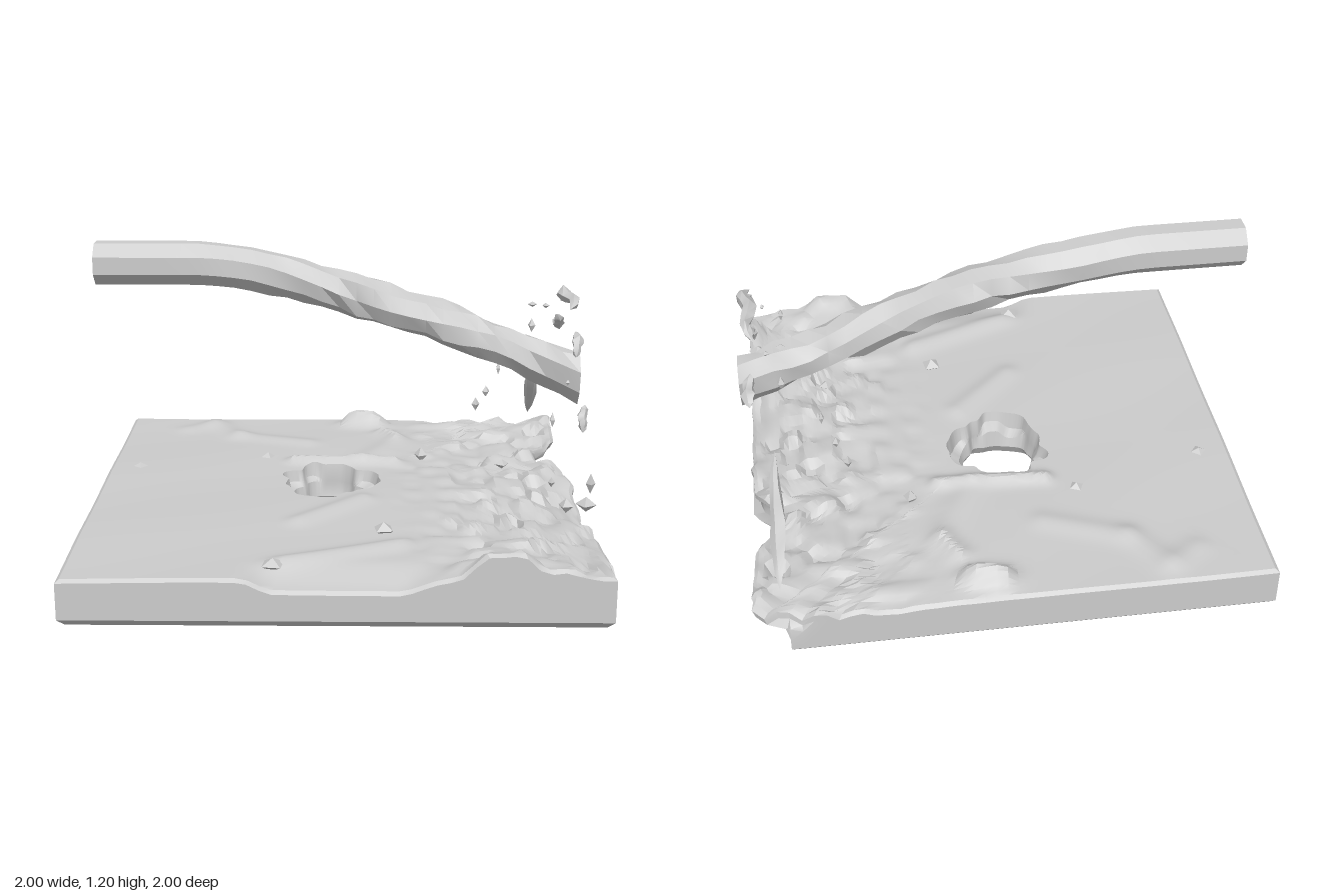
import * as THREE from 'three';
import { toCreasedNormals } from 'three/addons/utils/BufferGeometryUtils.js';

const material = new THREE.MeshStandardMaterial({ color: 0xcccccc, side: THREE.DoubleSide });
const lerp = THREE.MathUtils.lerp, smooth = THREE.MathUtils.smoothstep;
const bump = (v, c, w) => Math.exp(-(((v - c) / w) ** 2));

// Repeatable value in -1..1 from a position
function hash(x, y, z) {
  const s = Math.sin(Math.round(x * 500) * 12.99 + Math.round(y * 500) * 78.23 + Math.round(z * 500) * 37.72) * 43758.55;
  return (s - Math.floor(s)) * 2 - 1;
}

// Blocky noise in -1..1, steep between cells
function noise(x, z, seed, cell) {
  const i = Math.floor(x / cell), j = Math.floor(z / cell);
  const u = smooth(x / cell - i, 0.2, 0.8), v = smooth(z / cell - j, 0.2, 0.8);
  return lerp(lerp(hash(i, seed, j), hash(i + 1, seed, j), u), lerp(hash(i, seed, j + 1), hash(i + 1, seed, j + 1), u), v);
}

function addMesh(group, geometry, name, crease = 0.6) {
  const mesh = new THREE.Mesh(toCreasedNormals(geometry, crease), material);
  mesh.name = name;
  group.add(mesh);
  return mesh;
}

// Low rounded ridge along a segment on the ground
function ridge(x, z, x0, z0, x1, z1, w, amp) {
  const dx = x1 - x0, dz = z1 - z0;
  const t = THREE.MathUtils.clamp(((x - x0) * dx + (z - z0) * dz) / (dx * dx + dz * dz), 0, 1);
  return amp * bump(Math.hypot(x - x0 - dx * t, z - z0 - dz * t), 0, w);
}

// Height of the slab top: calm on the left, broken on the right
function groundHeight(x, z) {
  let h = 0.185 + 0.005 * Math.sin(4 * x + 3 * z) * Math.cos(5 * z - x);
  h += ridge(x, z, -0.72, -0.82, -0.6, -0.9, 0.05, 0.013) + ridge(x, z, -0.6, -0.9, -0.47, -0.72, 0.05, 0.014);
  h += ridge(x, z, -0.47, -0.72, -0.15, -0.6, 0.05, 0.014) + ridge(x, z, 0.1, -0.35, 0.25, -0.6, 0.06, 0.015);
  h += ridge(x, z, -0.2, 0.83, 0.25, 0.65, 0.05, 0.024) + ridge(x, z, -0.15, 0.4, 0.1, 0.15, 0.05, 0.018);
  // Raised crust beside the hole and broken lumps
  h += ridge(x, z, -0.2, -0.34, 0.24, -0.32, 0.035, 0.03);
  h += ridge(x, z, 0.06, -0.9, 0.16, -0.88, 0.05, 0.075) + ridge(x, z, 0.2, -0.75, 0.26, -0.65, 0.04, 0.03);
  const rough = smooth(x, 0.15, 0.7);
  h += rough * (0.028 * noise(x, z, 1, 0.075) + 0.014 * noise(x, z, 2, 0.19));
  // Front edge dips in the middle and rises near the right corner
  const front = smooth(z, 0.8, 1);
  h -= 0.045 * front * smooth(x, -0.35, -0.22) * (1 - smooth(x, 0.22, 0.4));
  h += 0.06 * smooth(z, 0.65, 1) * bump(x, 0.6, 0.13) + 0.04 * front * smooth(x, 0.42, 0.6);
  // Right edge is worn down, its back corner kicked up
  const right = smooth(x, 0.78, 1);
  h -= right * 0.08 * bump(z, 0.17, 0.2);
  h += right * 0.04 * bump(z, -0.82, 0.16);
  return h;
}

// Slab: a closed cross-section carried round the square, with a ragged hole
function slabGeometry() {
  const perSide = 44, spokes = perSide * 4, steps = 40;
  const corners = [[-1, 1], [1, 1], [1, -1], [-1, -1]];
  const hx = -0.04, hz = -0.1;
  const positions = [], index = [];
  let rings = 0;
  for (let k = 0; k < spokes; k++) {
    const s = Math.floor(k / perSide), t = (k % perSide) / perSide;
    const a = corners[s], b = corners[(s + 1) % 4];
    let px = lerp(a[0], b[0], t), pz = lerp(a[1], b[1], t);
    const broken = px > 0.99;
    // The base stops short under the thin overhanging back corner
    const limit = 1 - 0.15 * smooth(-pz, 0.22, 0.4) + 0.02 * noise(pz, 0, 3, 0.1) * smooth(-pz, 0.2, 0.4);
    const qx = Math.min(px, limit), qz = pz;
    // Bites out of the broken right edge and back corner
    if (broken) px -= 0.13 * bump(pz, -0.44, 0.13) + 0.015 * Math.abs(noise(pz, 0, 4, 0.06)) * (1 - smooth(pz, 0.8, 1));
    if (pz < -0.99) pz += 0.05 * bump(px, 0.88, 0.06);
    if (broken) pz += 0.05 * smooth(-pz, 0.9, 1);
    const angle = Math.atan2(pz - hz, px - hx), c = Math.cos(angle), d = Math.sin(angle);
    const r = 0.155 + 0.012 * Math.sin(3 * angle) + 0.015 * noise(c, d, 5, 0.4);
    const lip = r + 0.045 + 0.03 * noise(c, d, 6, 0.5);
    const wear = broken ? 0.03 + 0.08 * bump(pz, 0.15, 0.25) : 0;
    const loop = [];
    const hole = (radius, y) => loop.push([hx + c * radius, y, hz + d * radius]);
    // Side wall, from the base outline (f = 0) to the top outline (f = 1)
    const edge = (f, scale, y) => loop.push([lerp(qx, px, f) * scale, y, lerp(qz, pz, f) * scale]);
    const cavity = seed => 1 - wear * (0.5 + 0.5 * noise(pz, 0, seed, 0.11)) * (1 - smooth(pz, 0.9, 1));
    const h = groundHeight(px, pz);
    hole(r + 0.03, 0);
    edge(0, 0.5, 0);
    edge(0, 0.975, 0);
    edge(0, 1, 0.028);
    edge(0, cavity(7), h * 0.4);
    edge(0.15, cavity(8), h * 0.68);
    edge(0.9, 1, h * 0.8);
    edge(1, 1, h - 0.012);
    const ex = px * 0.985, ez = pz * 0.985, lx = hx + c * lip, lz = hz + d * lip;
    for (let j = 0; j <= steps; j++) {
      const x = lerp(ex, lx, j / steps), z = lerp(ez, lz, j / steps);
      loop.push([x, groundHeight(x, z), z]);
    }
    const ledge = 0.13 + 0.025 * noise(c, d, 9, 0.5);
    hole(lip - 0.012, ledge);
    hole(r + 0.012, ledge - 0.02);
    hole(r, 0.05);
    rings = loop.length;
    positions.push(...loop.flat());
  }
  for (let k = 0; k < spokes; k++) {
    for (let j = 0; j < rings; j++) {
      const n = ((k + 1) % spokes) * rings, m = k * rings, j1 = (j + 1) % rings;
      index.push(m + j, n + j, n + j1, m + j, n + j1, m + j1);
    }
  }
  const g = new THREE.BufferGeometry();
  g.setAttribute('position', new THREE.Float32BufferAttribute(positions, 3));
  g.setIndex(index);
  return g;
}

// Drooping octagonal beam, rough along its length and torn at the low end
function beamGeometry() {
  const g = new THREE.CylinderGeometry(0.092, 0.092, 2, 8, 28, false, Math.PI / 8);
  g.rotateZ(-Math.PI / 2);
  const p = g.attributes.position;
  for (let i = 0; i < p.count; i++) {
    const x = p.getX(i), y = p.getY(i), z = p.getZ(i);
    const s = Math.max(0, (x + 0.6) / 1.6);
    const rough = smooth(x, -0.65, 0.1);
    const k = 1 + rough * (0.12 * hash(x, y, z) + 0.05 * Math.sin(x * 17) - 0.02);
    // Facets wind slowly round the beam
    const turn = 0.5 * rough * Math.sin(x * 4 + 1) * (1 - smooth(x, 0.6, 0.9));
    const ry = y * Math.cos(turn) - z * Math.sin(turn), rz = y * Math.sin(turn) + z * Math.cos(turn);
    const tear = smooth(x, 0.7, 1);
    const pinch = ry < 0 ? 1 - 0.75 * tear * (-ry / 0.092) : 1 - 0.15 * tear;
    p.setXYZ(i, x, 1.118 - 0.49 * s ** 1.5 + ry * k * (1 + 0.25 * tear), -0.115 + rz * k * pinch);
  }
  return g;
}

// Tapered bent shard along a path
function shardGeometry(points, radius) {
  const curve = new THREE.CatmullRomCurve3(points.map(q => new THREE.Vector3(...q)));
  const segs = 8, sides = 5;
  const g = new THREE.TubeGeometry(curve, segs, radius, sides);
  const p = g.attributes.position, v = new THREE.Vector3();
  for (let i = 0; i < p.count; i++) {
    const u = Math.floor(i / (sides + 1)) / segs, centre = curve.getPointAt(u);
    v.fromBufferAttribute(p, i).sub(centre);
    v.multiplyScalar(Math.sin(Math.PI * u) ** 0.6 * (1 + 0.35 * hash(u, v.y, v.z))).add(centre);
    p.setXYZ(i, v.x, v.y, v.z);
  }
  return g;
}

export function createModel() {
  const model = new THREE.Group();
  addMesh(model, slabGeometry(), 'brokenSlab', 0.5);
  addMesh(model, beamGeometry(), 'bentBeam', 0.4);

  // Long shards thrown up near the right edge
  const shards = [
    [[[0.87, 0.63, -0.56], [0.88, 0.55, -0.64], [0.88, 0.42, -0.74], [0.89, 0.25, -0.91]], 0.026],
    [[[0.93, 0.96, 0.05], [0.96, 0.98, -0.02], [0.93, 0.99, -0.12], [0.95, 0.97, -0.22], [0.92, 0.95, -0.3]], 0.03],
    [[[0.94, 0.8, 0.2], [0.95, 0.85, 0.15], [0.95, 0.88, 0.09]], 0.022],
    [[[0.94, 0.85, -0.36], [0.95, 0.81, -0.41], [0.95, 0.77, -0.47]], 0.024],
    [[[0.96, 0.53, 0.33], [0.96, 0.58, 0.3], [0.97, 0.63, 0.28]], 0.022],
  ];
  shards.forEach(([path, radius], i) => addMesh(model, shardGeometry(path, radius), 'shard' + (i + 1)));

  // Loose fragments in an arc: x, y, z, half width, half height
  const fragments = [
    [0.96, 0.4, 0.56, 0.018, 0.04], [0.95, 0.31, 0.54, 0.04, 0.03], [0.88, 0.29, 0.5, 0.03, 0.03],
    [0.83, 0.6, 0.39, 0.013, 0.03], [0.9, 0.72, 0.28, 0.01, 0.012], [0.66, 0.355, 0.19, 0.03, 0.02],
    [0.82, 0.91, -0.29, 0.02, 0.012], [0.88, 0.9, -0.31, 0.015, 0.012], [0.83, 0.8, -0.37, 0.018, 0.03],
    [0.69, 0.61, -0.36, 0.012, 0.03], [0.64, 0.5, -0.38, 0.018, 0.025], [0.6, 0.43, -0.42, 0.018, 0.03],
    [0.83, 0.36, 0.43, 0.014, 0.02], [0.36, 0.2, -0.4, 0.03, 0.035], [0.18, 0.19, 0.5, 0.045, 0.03],
    [-0.23, 0.19, 0.86, 0.05, 0.025], [-0.32, 0.18, -0.41, 0.04, 0.025], [-0.87, 0.18, -0.26, 0.05, 0.025],
  ];
  fragments.forEach(([x, y, z, w, h], i) => {
    const g = new THREE.OctahedronGeometry(1, 0);
    g.rotateY(i * 1.3);
    g.scale(w, h, w);
    addMesh(model, g, 'fragment' + (i + 1), 0.1).position.set(x, y, z);
  });
  return model;
}
